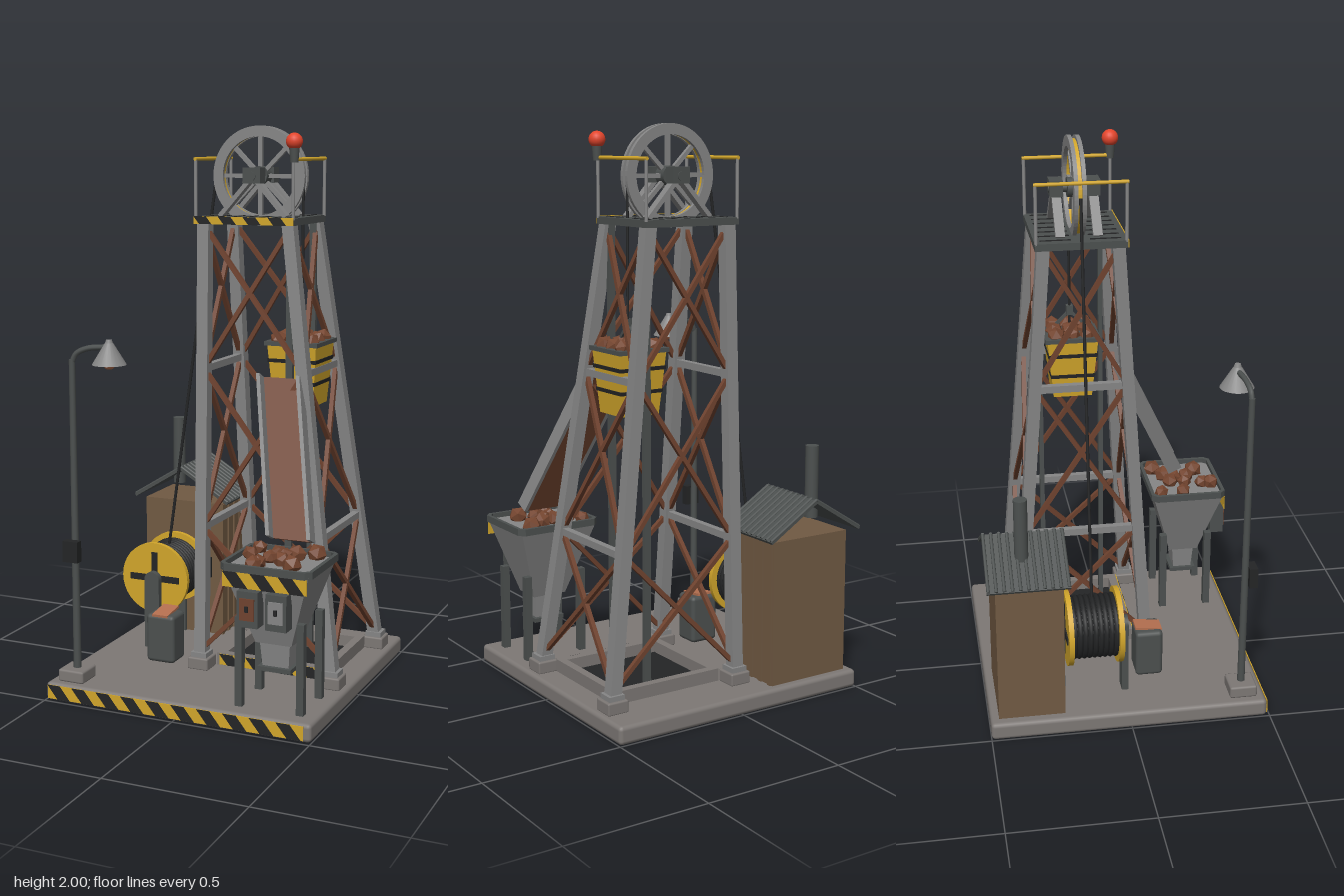
import * as THREE from 'three';
import { RoundedBoxGeometry } from 'three/addons/geometries/RoundedBoxGeometry.js';

const mat = (name, color, extra = {}) => Object.assign(new THREE.MeshStandardMaterial({ color, ...extra }), { name });

export function createModel() {
  const root = new THREE.Group();
  root.name = 'mineHeadframe';
  const concrete = mat('concrete', 0x7d7875), steel = mat('steel', 0x868686), dark = mat('darkSteel', 0x4c504f);
  const black = mat('black', 0x242526), yellow = mat('yellow', 0xd2a62b), rust = mat('rust', 0x70432f);
  const wood = mat('wood', 0x715a43), red = mat('beaconRed', 0xe2452c), copper = mat('copper', 0xb57050);
  const ore = mat('ore', 0x74452f, { flatShading: true });
  const V = (x, y, z) => new THREE.Vector3(x, y, z);

  const add = (name, geo, m, x = 0, y = 0, z = 0) => {
    const mesh = new THREE.Mesh(geo, m);
    mesh.name = name;
    mesh.position.set(x, y, z);
    root.add(mesh);
    return mesh;
  };
  // box given by its limits on each axis
  const box = (name, m, x0, x1, y0, y1, z0, z1) =>
    add(name, new THREE.BoxGeometry(x1 - x0, y1 - y0, z1 - z0), m, (x0 + x1) / 2, (y0 + y1) / 2, (z0 + z1) / 2);
  const cyl = (name, m, r0, r1, h, x, y, z, n = 20) => add(name, new THREE.CylinderGeometry(r1, r0, h, n), m, x, y, z);
  // straight bar between two points
  const bar = (name, m, p, q, w, round = false, d = w) => {
    const l = p.distanceTo(q);
    const geo = round ? new THREE.CylinderGeometry(w / 2, w / 2, l, 10) : new THREE.BoxGeometry(w, l, d);
    const b = add(name, geo, m);
    b.position.copy(p).lerp(q, 0.5);
    b.quaternion.setFromUnitVectors(V(0, 1, 0), q.clone().sub(p).normalize());
    return b;
  };
  // box whose bottom is a different size from its top
  const taper = (name, m, tw, td, bw, bd, y0, y1, x, z) => {
    const geo = new THREE.BoxGeometry(tw, y1 - y0, td), p = geo.attributes.position;
    for (let i = 0; i < p.count; i++) if (p.getY(i) < 0) p.setXYZ(i, p.getX(i) * bw / tw, p.getY(i), p.getZ(i) * bd / td);
    geo.computeVertexNormals();
    return add(name, geo, m, x, (y0 + y1) / 2, z);
  };
  // yellow plate with slanted black bands, facing +z
  const hazard = (name, x0, x1, y0, y1, z) => {
    box(name, yellow, x0, x1, y0, y1, z - 0.003, z);
    const h = y1 - y0, n = Math.round((x1 - x0) / 0.1), s = (x1 - x0) / n;
    for (let i = 0; i < n; i++) {
      const x = x0 + i * s, b = s * 0.5;
      const shape = new THREE.Shape([[x + h * 0.8, y0], [x + h * 0.8 + b, y0], [x + b, y1], [x, y1]]
        .map(([a, c]) => new THREE.Vector2(Math.min(a, x1), c)));
      add(name + 'Band', new THREE.ExtrudeGeometry(shape, { depth: 0.002, bevelEnabled: false }), black, 0, 0, z);
    }
  };
  const rock = (x, y, z, r, i) => add('oreRock', new THREE.IcosahedronGeometry(r, 0), ore, x, y, z).rotation.set(i * 1.3, i * 2.1, i);

  // ground slab
  add('baseSlab', new RoundedBoxGeometry(1, 0.065, 0.99, 2, 0.015), concrete, 0, 0.0325, -0.005);
  hazard('baseHazardStrip', -0.49, 0.475, 0.008, 0.058, 0.493);

  // shaft collar
  box('shaftOpening', black, 0.01, 0.4, 0.06, 0.068, -0.3, 0.06);
  for (const z of [-0.32, 0.05]) box('shaftCollar', concrete, -0.02, 0.41, 0.06, 0.11, z, z + 0.03);
  for (const x of [-0.02, 0.38]) box('shaftCollar', concrete, x, x + 0.03, 0.06, 0.11, -0.3, 0.06);
  hazard('collarHazardStrip', -0.01, 0.405, 0.068, 0.108, 0.084);

  // tower: four leaning legs, cross braces and side girts
  const corner = (sx, sz, y) => {
    const t = (y - 0.1) / 1.56;
    const x = sx < 0 ? -0.063 - 0.032 * t : 0.44 - 0.215 * t;
    return V(x, y, -0.118 + sz * (0.238 - 0.11 * t));
  };
  const levels = [0.13, 0.58, 1.15, 1.65];
  for (const sx of [-1, 1]) for (const sz of [-1, 1]) {
    bar('towerLeg', steel, corner(sx, sz, 0.1), corner(sx, sz, 1.665), 0.043);
    const f = corner(sx, sz, 0.1);
    add('legPad', new RoundedBoxGeometry(0.08, 0.045, 0.08, 1, 0.006), concrete, f.x, 0.085, f.z);
    box('legShoe', steel, f.x - 0.03, f.x + 0.03, 0.1, 0.125, f.z - 0.03, f.z + 0.03);
  }
  for (let i = 0; i < 3; i++) {
    const [a, b] = [levels[i], levels[i + 1]];
    for (const s of [-1, 1]) for (const d of [-1, 1]) {
      bar('crossBrace', rust, corner(d, s, a), corner(-d, s, b), 0.016);
      bar('crossBrace', rust, corner(s, d, a), corner(s, -d, b), 0.016);
    }
  }
  for (const y of [0.58, 1.15]) for (const s of [-1, 1]) bar('sideGirt', steel, corner(s, -1, y), corner(s, 1, y), 0.025);

  // top platform with grating slots and side rails
  box('platform', dark, -0.125, 0.25, 1.66, 1.685, -0.275, 0.04);
  hazard('platformHazardStrip', -0.125, 0.25, 1.66, 1.687, 0.043);
  for (let i = 0; i < 7; i++) for (const z of [-0.255, -0.085])
    box('gratingSlot', black, -0.094 + i * 0.052, -0.086 + i * 0.052, 1.684, 1.687, z, z + 0.105);
  for (const x of [-0.12, 0.247]) {
    for (const z of [-0.27, 0.035]) bar('railPost', steel, V(x, 1.68, z), V(x, 1.885, z), 0.012, true);
    bar('handRail', yellow, V(x, 1.885, -0.276), V(x, 1.885, 0.041), 0.013, true);
  }
  cyl('beaconSocket', dark, 0.014, 0.018, 0.05, 0.25, 1.9, 0.035);
  add('beacon', new THREE.SphereGeometry(0.029, 20, 14), red, 0.25, 1.946, 0.035);

  // head wheel
  const wx = 0.063, wy = 1.825, wz = -0.118;
  const ring = (R, r, d) => {
    const s = new THREE.Shape().absarc(0, 0, R, 0, Math.PI * 2);
    s.holes.push(new THREE.Path().absarc(0, 0, r, 0, Math.PI * 2, true));
    return new THREE.ExtrudeGeometry(s, { depth: d, bevelEnabled: false, curveSegments: 32 });
  };
  add('wheelFlange', ring(0.175, 0.138, 0.014), steel, wx, wy, wz + 0.007);
  add('wheelFlange', ring(0.175, 0.138, 0.014), steel, wx, wy, wz - 0.021);
  add('wheelGroove', ring(0.163, 0.14, 0.014), yellow, wx, wy, wz - 0.007);
  for (let i = 0; i < 8; i++) {
    const a = i * Math.PI / 4;
    bar('wheelSpoke', steel, V(wx, wy, wz), V(wx + 0.142 * Math.cos(a), wy + 0.142 * Math.sin(a), wz), 0.015);
  }
  cyl('wheelHub', dark, 0.034, 0.034, 0.05, wx, wy, wz).rotation.x = Math.PI / 2;
  cyl('wheelAxle', dark, 0.016, 0.016, 0.18, wx, wy, wz).rotation.x = Math.PI / 2;
  for (const s of [-1, 1]) {
    const z = wz + s * 0.064;
    box('bearingBlock', dark, wx - 0.034, wx + 0.034, 1.8, 1.855, z - 0.023, z + 0.023);
    for (const d of [-1, 1]) bar('bearingStrut', steel, V(wx, wy, z), V(wx + d * 0.125, 1.685, z), 0.016, false, 0.032);
  }

  // hoist ropes and skip guides
  bar('hoistRope', black, V(-0.108, 1.83, wz), V(-0.31, 0.43, wz), 0.011, true);
  bar('skipRope', black, V(0.225, 1.83, wz), V(0.225, 1.26, wz), 0.01, true);
  box('ropeClamp', dark, 0.212, 0.238, 1.31, 1.345, wz - 0.012, wz + 0.012);
  for (const s of [-1, 1]) box('skipGuide', dark, 0.21, 0.235, 0.065, 1.66, wz + s * 0.112 - 0.008, wz + s * 0.112 + 0.008);

  // skip bucket
  taper('skipBody', yellow, 0.185, 0.185, 0.15, 0.14, 1.02, 1.245, 0.22, wz);
  taper('skipBand', black, 0.184, 0.182, 0.182, 0.178, 1.175, 1.188, 0.22, wz);
  taper('skipBand', black, 0.17, 0.164, 0.168, 0.16, 1.095, 1.108, 0.22, wz);
  box('skipRim', dark, 0.12, 0.32, 1.235, 1.25, wz - 0.1, wz + 0.1);
  for (const s of [-1, 1]) bar('skipBail', dark, V(0.22, 1.245, wz + s * 0.08), V(0.225, 1.325, wz), 0.01);
  for (let i = 0; i < 9; i++) rock(0.16 + (i % 3) * 0.06, 1.252, wz + (Math.floor(i / 3) - 1) * 0.058, 0.034, i);

  // ore chute, sheared so its ends stay level across
  const top = V(0.21, 1.135, 0.045), end = V(0.347, 0.625, 0.285);
  const along = end.clone().sub(top).normalize(), across = V(1, 0, 0);
  const under = across.clone().cross(along).normalize(), len = top.distanceTo(end);
  const chute = new THREE.Matrix4().makeBasis(across, along, under).setPosition(top.clone().lerp(end, 0.5));
  const chutePart = (name, m, w, d, x, z) =>
    add(name, new THREE.BoxGeometry(w, len, d).translate(x, 0, z).applyMatrix4(chute), m);
  chutePart('chuteFloor', rust, 0.14, 0.012, 0, 0.012);
  for (const s of [-1, 1]) chutePart('chuteWall', steel, 0.014, 0.055, s * 0.074, -0.009);

  // ore hopper
  const hx = 0.325, hz = 0.33;
  const chamfer = (C, w, d, c) => new C([[-w, -d + c], [-w + c, -d], [w - c, -d], [w, -d + c], [w, d - c], [w - c, d], [-w + c, d], [-w, d - c]]
    .map(([x, y]) => new THREE.Vector2(x, y)));
  const rim = chamfer(THREE.Shape, 0.163, 0.143, 0.02);
  const hole = chamfer(THREE.Shape, 0.15, 0.13, 0.015);
  rim.holes.push(new THREE.Path(hole.getPoints().reverse()));
  add('hopperRim', new THREE.ExtrudeGeometry(rim, { depth: 0.025, bevelEnabled: false }).rotateX(-Math.PI / 2), dark, hx, 0.548, hz);
  taper('hopperBody', steel, 0.306, 0.268, 0.13, 0.11, 0.285, 0.555, hx, hz);
  taper('hopperNeck', steel, 0.11, 0.085, 0.095, 0.07, 0.2, 0.29, hx, hz);
  box('hopperGate', dark, hx - 0.06, hx + 0.06, 0.185, 0.2, hz - 0.05, hz + 0.05);
  hazard('hopperHazardStrip', 0.175, 0.475, 0.495, 0.548, 0.472);
  for (const x of [0.215, 0.437]) for (const z of [0.24, 0.415]) box('hopperLeg', dark, x - 0.013, x + 0.013, 0.065, 0.38, z - 0.013, z + 0.013);
  for (const [x, m] of [[0.27, rust], [0.372, steel]]) {
    box('controlBox', dark, x - 0.037, x + 0.037, 0.365, 0.488, 0.43, 0.482);
    box('controlBoxDoor', m, x - 0.026, x + 0.026, 0.39, 0.465, 0.482, 0.487);
    box('controlBoxHandle', black, x - 0.006, x + 0.006, 0.42, 0.44, 0.487, 0.492);
  }
  [[0.21, 0.315], [0.3, 0.28], [0.36, 0.265], [0.29, 0.335], [0.34, 0.35], [0.39, 0.39], [0.275, 0.4], [0.27, 0.435],
    [0.42, 0.23], [0.21, 0.23], [0.33, 0.3]].forEach(([x, z], i) => rock(x, 0.57, z, 0.028 + 0.004 * (i % 3), i));

  // winch drum
  const dx = -0.322, dy = 0.328;
  cyl('drumCore', black, 0.105, 0.105, 0.17, dx, dy, wz, 28).rotation.x = Math.PI / 2;
  for (let i = 0; i < 9; i++) add('ropeCoil', new THREE.TorusGeometry(0.105, 0.01, 6, 28), black, dx, dy, wz + (i - 4) * 0.0185);
  for (const s of [-1, 1]) {
    cyl('drumFlange', yellow, 0.135, 0.135, 0.018, dx, dy, wz + s * 0.089, 36).rotation.x = Math.PI / 2;
    const z = wz + s * 0.1;
    box('flangeCross', black, dx - 0.1, dx + 0.1, dy - 0.012, dy + 0.012, z - 0.003, z + 0.003);
    box('flangeCross', black, dx - 0.012, dx + 0.012, dy - 0.1, dy + 0.1, z - 0.003, z + 0.003);
    box('drumSupport', dark, dx - 0.03, dx + 0.03, 0.065, dy, wz + s * 0.115 - 0.012, wz + s * 0.115 + 0.012);
    cyl('drumBearing', dark, 0.03, 0.03, 0.024, dx, dy, wz + s * 0.115).rotation.x = Math.PI / 2;
  }

  // operator console
  add('consoleBody', new RoundedBoxGeometry(0.112, 0.18, 0.1, 2, 0.015), dark, -0.219, 0.155, 0.1);
  box('consolePanel', copper, -0.25, -0.188, 0.243, 0.252, 0.051, 0.149).rotation.x = 0.12;

  // winch hut with corrugated gable roof
  box('hutWalls', wood, -0.464, -0.143, 0.065, 0.582, -0.47, -0.235);
  for (let i = 0; i < 5; i++) box('hutBatten', wood, -0.144, -0.137, 0.065, 0.58, -0.465 + i * 0.053, -0.447 + i * 0.053);
  box('hutWindow', black, -0.27, -0.185, 0.29, 0.37, -0.235, -0.229);
  for (const s of [-1, 1]) {
    const ridge = V(-0.306, 0.71, -0.357), eave = V(-0.306 + s * 0.195, 0.59, -0.357);
    bar('roofPanel', dark, ridge, eave, 0.01, false, 0.286);
    for (let i = 0; i < 11; i++) {
      const off = V(0, 0.006, (i - 5) * 0.0275);
      bar('roofRib', dark, ridge.clone().add(off), eave.clone().add(off), 0.012, true);
    }
  }
  cyl('chimney', dark, 0.024, 0.024, 0.26, -0.385, 0.75, -0.37);

  // yard lamp
  add('lampFoot', new RoundedBoxGeometry(0.1, 0.045, 0.1, 1, 0.008), concrete, -0.417, 0.085, 0.41);
  cyl('lampPost', dark, 0.014, 0.011, 1.11, -0.415, 0.655, 0.41, 12);
  const arm = new THREE.CatmullRomCurve3([V(-0.415, 1.2, 0.41), V(-0.4, 1.23, 0.408), V(-0.36, 1.25, 0.402), V(-0.285, 1.258, 0.39)]);
  add('lampArm', new THREE.TubeGeometry(arm, 16, 0.01, 8), dark);
  add('lampShade', new THREE.CylinderGeometry(0.014, 0.06, 0.075, 20, 1, true), mat('steel', 0x868686, { side: THREE.DoubleSide }), -0.281, 1.235, 0.39).material = Object.assign(steel, { side: THREE.DoubleSide });
  cyl('lampCap', steel, 0.014, 0.01, 0.012, -0.281, 1.277, 0.39);
  add('lampBulb', new THREE.SphereGeometry(0.025, 14, 10), copper, -0.281, 1.205, 0.39);
  box('lampSwitchBox', black, -0.444, -0.386, 0.5, 0.575, 0.42, 0.45);

  return root;
}
